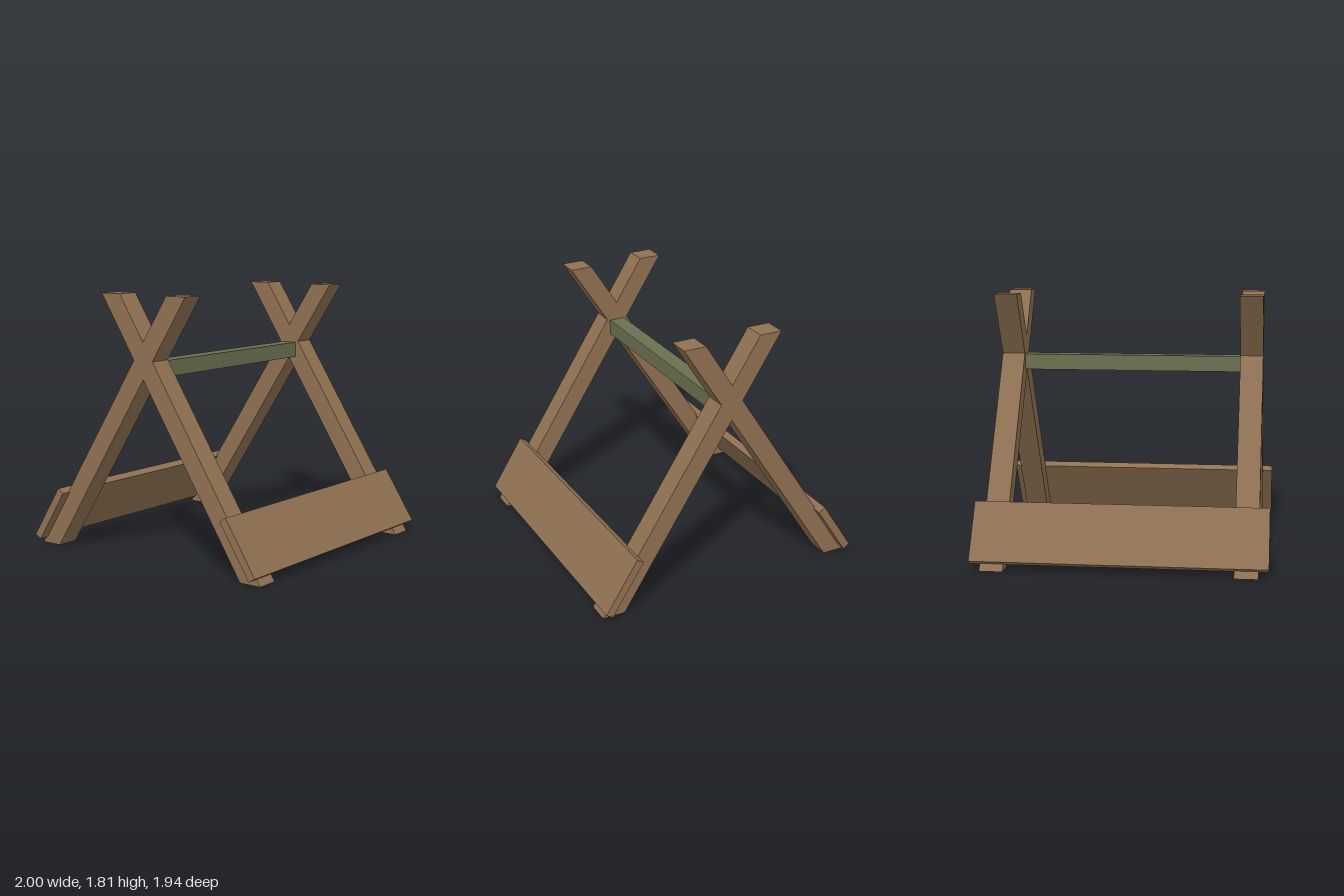
import * as THREE from 'three';

const wood = new THREE.MeshStandardMaterial({ color: 0x8f7152 });
wood.name = 'brown wood';
const paint = new THREE.MeshStandardMaterial({ color: 0x6b7050 });
paint.name = 'olive green';

// Side profile given as [z, y] points, extruded along x and centred on cx
function beam(name, profile, width, cx) {
  const shape = new THREE.Shape(profile.map(([z, y]) => new THREE.Vector2(z, y)));
  const geometry = new THREE.ExtrudeGeometry(shape, { depth: width, bevelEnabled: false });
  geometry.translate(0, 0, -width / 2).rotateY(-Math.PI / 2).translate(cx, 0, 0);
  const mesh = new THREE.Mesh(geometry, wood);
  mesh.name = name;
  return mesh;
}

export function createModel() {
  const model = new THREE.Group();
  model.name = 'trestle';

  const legProfile = [[0.8, 0], [0.96, 0], [-0.2, 1.81], [-0.36, 1.81]];
  const boardProfile = [[0.92, 0.04], [0.968, 0.069], [0.737, 0.43], [0.689, 0.401]];

  for (const [end, sign] of [['front', 1], ['back', -1]]) {
    const facing = (profile) => profile.map(([z, y]) => [z * sign, y]);
    // Crossed legs, level at the foot and the top
    model.add(beam(end + 'LegLeft', facing(legProfile), 0.16, 0.85));
    model.add(beam(end + 'LegRight', facing(legProfile), 0.16, -0.85));
    // Wide plank fixed to the outside of the feet
    model.add(beam(end + 'Board', facing(boardProfile), 2, 0));
  }

  // Square bar between the two crossings
  const bar = new THREE.Mesh(new THREE.BoxGeometry(1.54, 0.11, 0.115), paint);
  bar.name = 'crossbar';
  bar.position.y = 1.31;
  model.add(bar);

  return model;
}
